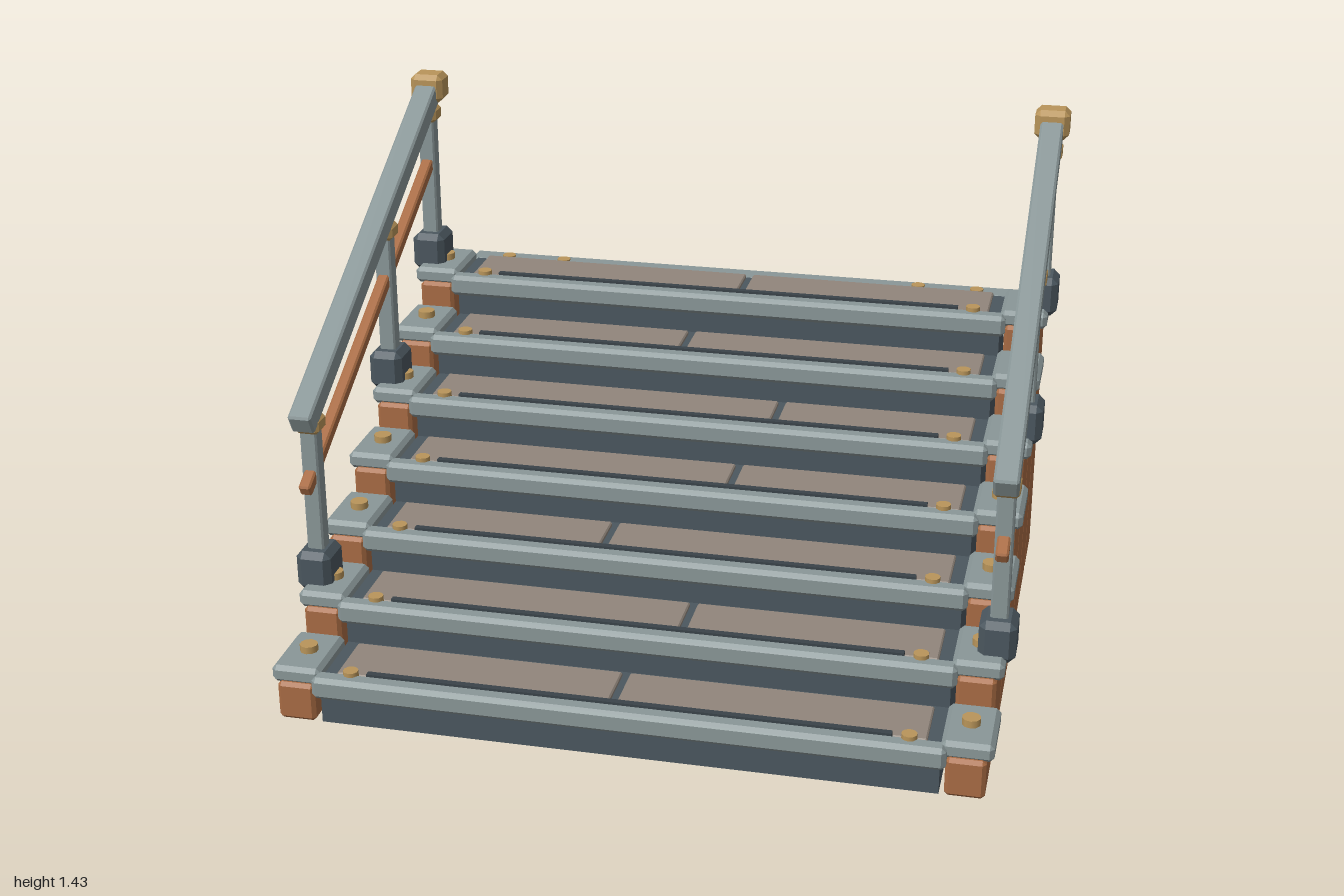
import * as THREE from 'three';
import { ConvexGeometry } from 'three/addons/geometries/ConvexGeometry.js';

const mat = (name, color) => {
  const m = new THREE.MeshStandardMaterial({ color });
  m.name = name;
  return m;
};

// Box with flat chamfered edges, centred on the origin
function chamferBox(w, h, d, c) {
  const pts = [];
  for (const x of [-1, 1]) for (const y of [-1, 1]) for (const z of [-1, 1])
    for (const k of [0, 1, 2]) {
      pts.push(new THREE.Vector3(
        x * (w / 2 - (k === 0 ? 0 : c)),
        y * (h / 2 - (k === 1 ? 0 : c)),
        z * (d / 2 - (k === 2 ? 0 : c))));
    }
  return new ConvexGeometry(pts);
}

export function createModel() {
  const steel = mat('greySteel', 0x8a9798);
  const slate = mat('darkSlate', 0x4b575f);
  const groove = mat('darkGroove', 0x3a4349);
  const copper = mat('copperBrown', 0xa96c44);
  const brass = mat('brass', 0xb9955a);
  const taupe = mat('taupeTread', 0x91867c);

  const model = new THREE.Group();
  model.name = 'staircase';

  const add = (parent, name, geo, material, x, y, z) => {
    const mesh = new THREE.Mesh(geo, material);
    mesh.name = name;
    mesh.position.set(x, y, z);
    parent.add(mesh);
    return mesh;
  };
  // Block given by its limits; c is the chamfer width
  const block = (parent, name, material, [x0, x1], [y0, y1], [z0, z1], c = 0) => {
    const s = [x1 - x0, y1 - y0, z1 - z0];
    const geo = c ? chamferBox(...s, c) : new THREE.BoxGeometry(...s);
    return add(parent, name, geo, material, (x0 + x1) / 2, (y0 + y1) / 2, (z0 + z1) / 2);
  };
  const bolt = (parent, x, y, z, r, h) =>
    add(parent, 'bolt', new THREE.CylinderGeometry(r, r, h, 10), brass, x, y, z);
  const sideSpan = (s, a, b) => (s > 0 ? [a, b] : [-b, -a]);

  const STEPS = 7, RUN = 0.219, RISE = 0.1143, BACK = -0.735;
  const joints = [-0.035, 0.105, -0.17, 0.145, 0.23, -0.09, 0.045];

  for (let i = 0; i < STEPS; i++) {
    const step = new THREE.Group();
    step.name = 'step' + (i + 1);
    model.add(step);
    const y = i * RISE, z = -i * RUN;
    const rear = Math.max(0.566 + z, BACK);

    // Solid riser body reaching down to the floor
    block(step, 'riser', slate, [-0.838, 0.838], [0, 0.128 + y], [rear, 0.785 + z]);

    // Tread panels with a joint between them
    const panelRear = i === STEPS - 1 ? BACK : 0.585 + z;
    const gap = 0.011;
    block(step, 'treadPanel', taupe, [-0.8, joints[i] - gap], [0.115 + y, 0.14 + y], [panelRear, 0.757 + z], 0.004);
    block(step, 'treadPanel', taupe, [joints[i] + gap, 0.8], [0.115 + y, 0.14 + y], [panelRear, 0.757 + z], 0.004);

    // Nosing with grip strip and two bolts
    block(step, 'nosing', steel, [-0.855, 0.855], [0.083 + y, 0.147 + y], [0.76 + z, 0.815 + z], 0.012);
    block(step, 'gripStrip', groove, [-0.71, 0.71], [0.137 + y, 0.154 + y], [0.754 + z, 0.772 + z]);

    for (const s of [-1, 1]) {
      bolt(step, s * 0.755, 0.148 + y, 0.767 + z, 0.021, 0.022);

      // Side block, its cap and the cap bolt
      const blockRear = i === STEPS - 1 ? BACK : 0.582 + z;
      block(step, 'sideBlock', copper, sideSpan(s, 0.852, 0.957), [0.004, 0.115 + y], [blockRear, 0.8 + z], 0.01);
      block(step, 'sideCap', steel, sideSpan(s, 0.838, 0.975), [0.108 + y, 0.158 + y], [0.58 + z, 0.79 + z], 0.012);
      bolt(step, s * 0.905, 0.165 + y, 0.684 + z, 0.025, 0.026);
    }
  }

  // Beam along the top of the back
  const beam = new THREE.Group();
  beam.name = 'backBeam';
  model.add(beam);
  block(beam, 'beam', steel, [-0.866, 0.866], [0.73, 0.812], [-0.82, -0.73], 0.012);
  for (const x of [-0.745, -0.565, 0.565, 0.745]) bolt(beam, x, 0.81, -0.777, 0.021, 0.014);

  // Sloping bar between two points of the side plane, given as [z, y]
  const bar = (parent, name, material, x, [z0, y0], [z1, y1], w, t, c) => {
    const len = Math.hypot(z1 - z0, y1 - y0);
    const m = add(parent, name, chamferBox(w, t, len, c), material, x, (y0 + y1) / 2, (z0 + z1) / 2);
    m.rotation.x = Math.atan2(y1 - y0, z0 - z1);
  };

  // Handrails: posts as [z, bottom of the base, top of the collar]
  const posts = [[0.463, 0.248, 0.762], [-0.192, 0.592, 1.1], [-0.63, 0.818, 1.335]];
  for (const s of [-1, 1]) {
    const rail = new THREE.Group();
    rail.name = s > 0 ? 'leftHandrail' : 'rightHandrail';
    model.add(rail);
    const x = s * 0.948;
    for (const [z, y0, y1] of posts) {
      add(rail, 'postBase', chamferBox(0.1, 0.118, 0.122, 0.018), slate, x, y0 + 0.059, z);
      block(rail, 'post', steel, [x - 0.024, x + 0.024], [y0 + 0.1, y1 - 0.02], [z - 0.024, z + 0.024], 0.005);
      add(rail, 'postCollar', chamferBox(0.07, 0.046, 0.07, 0.01), brass, x, y1 - 0.023, z);
    }
    bar(rail, 'topRail', steel, x, [0.53, 0.757], [-0.66, 1.385], 0.066, 0.064, 0.006);
    bar(rail, 'lowerRail', copper, x, [0.533, 0.562], [-0.615, 1.157], 0.034, 0.036, 0.005);
    add(rail, 'railEndCap', chamferBox(0.1, 0.086, 0.086, 0.015), brass, x, 1.388, -0.662);
  }

  return model;
}
